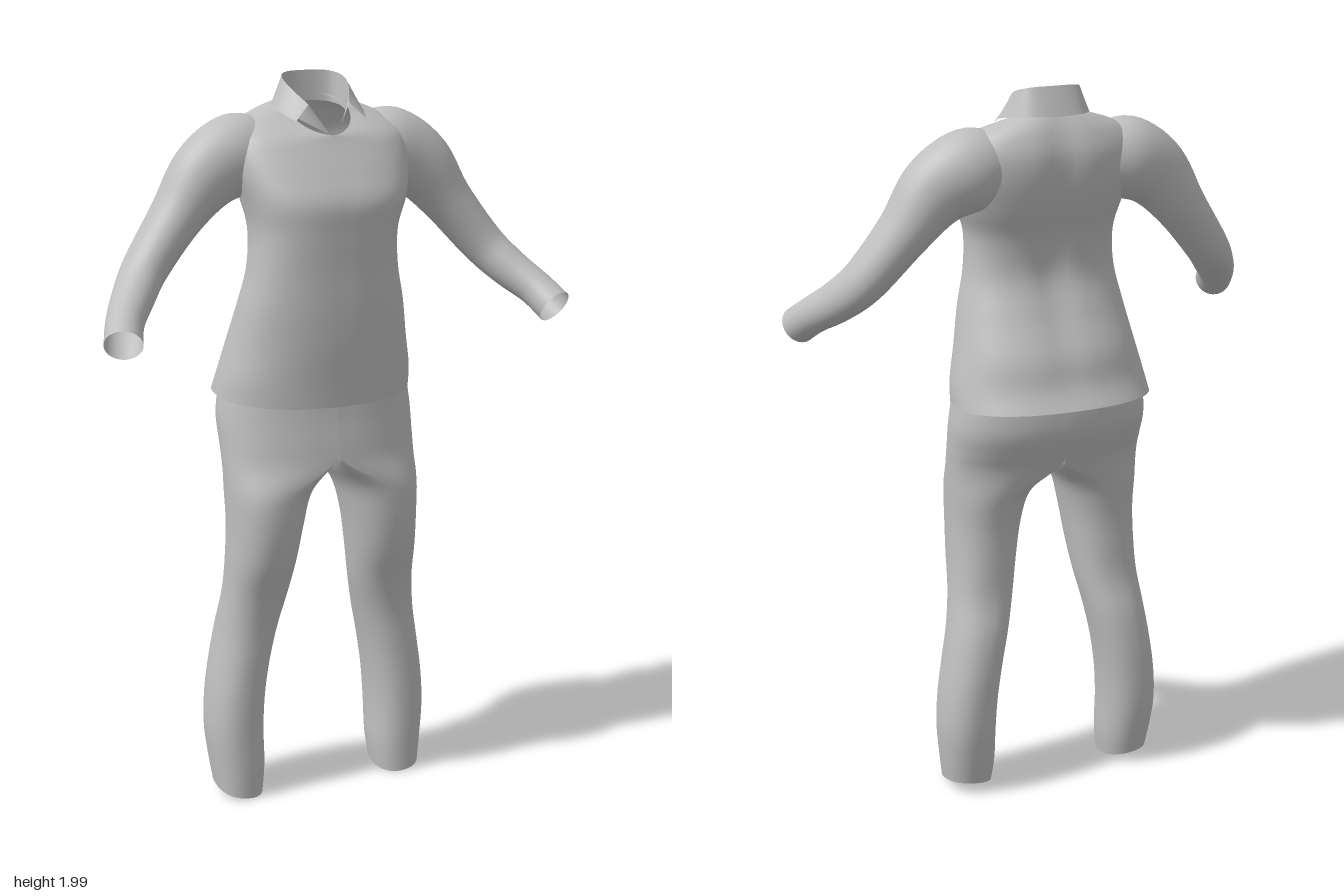
import * as THREE from 'three';

const cloth = new THREE.MeshStandardMaterial({ color: 0xbfbfbf, side: THREE.DoubleSide });
cloth.name = 'grey cloth';

// smooth table lookup: t in 0..1 runs along the rows, every column is splined
function rowAt(rows, t) {
  const f = t * (rows.length - 1), i = Math.min(Math.floor(f), rows.length - 2), k = f - i;
  const p = (j) => rows[Math.max(0, Math.min(rows.length - 1, j))];
  return rows[i].map((_, c) => {
    const a = p(i - 1)[c], b = p(i)[c], d = p(i + 1)[c], e = p(i + 2)[c];
    return b + 0.5 * k * (d - a + k * (2 * a - 5 * b + 4 * d - e + k * (3 * (b - d) + e - a)));
  });
}

// grid surface from point(t, u); wrap closes it around u
function surface(name, nt, nu, point, wrap = true, skip = () => false) {
  const pos = [], idx = [], pts = [], cols = wrap ? nu : nu + 1;
  for (let i = 0; i <= nt; i++) for (let j = 0; j < cols; j++) {
    const p = point(i / nt, j / nu);
    pts.push(p);
    pos.push(...p);
  }
  for (let i = 0; i < nt; i++) for (let j = 0; j < nu; j++) {
    const a = i * cols + j, b = i * cols + (j + 1) % cols, c = a + cols, d = b + cols;
    if (skip([a, b, c, d].map((q) => pts[q]))) continue;
    idx.push(a, c, b, b, c, d);
  }
  const g = new THREE.BufferGeometry();
  g.setAttribute('position', new THREE.Float32BufferAttribute(pos, 3));
  g.setIndex(idx);
  g.computeVertexNormals();
  const m = new THREE.Mesh(g, cloth);
  m.name = name;
  return m;
}

const spow = (v, e) => Math.sign(v) * Math.abs(v) ** e;

// shirt body: front y, back y, centre x, half width, front z, back z, squareness
const body = [
  [1.135, 1.165, -0.013, 0.275, 0.145, -0.238, 2.3],
  [1.2, 1.22, -0.01, 0.268, 0.15, -0.208, 2.3],
  [1.3, 1.3, -0.008, 0.248, 0.16, -0.188, 2.3],
  [1.4, 1.4, -0.008, 0.227, 0.165, -0.14, 2.4],
  [1.5, 1.5, -0.01, 0.205, 0.166, -0.106, 2.5],
  [1.6, 1.6, -0.007, 0.2, 0.17, -0.118, 2.6],
  [1.68, 1.68, 0, 0.222, 0.17, -0.148, 2.6],
  [1.75, 1.76, 0, 0.245, 0.135, -0.17, 2.5],
  [1.8, 1.83, 0, 0.25, 0.105, -0.174, 2.4],
  [1.825, 1.885, 0, 0.23, 0.09, -0.158, 2.3],
  [1.838, 1.92, 0, 0.185, 0.083, -0.138, 2.1],
  [1.844, 1.938, 0, 0.13, 0.08, -0.122, 1.9],
  [1.846, 1.943, 0, 0.085, 0.079, -0.11, 1.7],
];
function bodyPoint(t, a, out = 0) {
  const [yf, yb, cx, w, zf, zb, n] = rowAt(body, t);
  const c = Math.cos(a), s = Math.sin(a), ys = yf * 0.4 + yb * 0.6;
  const x = cx + w * spow(c, 2 / n);
  const z = (zf + zb) / 2 + (zf - zb) / 2 * spow(s, 2 / n);
  const y = ys + (s > 0 ? yf - ys : yb - ys) * Math.abs(s);
  // shallow hollow along the spine
  const spine = s < 0 ? 0.014 * Math.exp(-((x / 0.045) ** 2)) * Math.sin(Math.PI * t) : 0;
  return [x, y, z + spine + out];
}

// sleeve: centre x, y, z, radius in the front plane, radius in depth
const sleeveRows = [
  [0.15, 1.8, -0.06, 0.085, 0.085],
  [0.22, 1.792, -0.06, 0.108, 0.1],
  [0.31, 1.742, -0.05, 0.096, 0.09],
  [0.395, 1.64, -0.042, 0.07, 0.08],
  [0.49, 1.52, -0.012, 0.059, 0.07],
  [0.545, 1.455, 0.045, 0.054, 0.061],
  [0.592, 1.405, 0.115, 0.049, 0.052],
  [0.618, 1.362, 0.178, 0.05, 0.05],
];
function sleevePoint(t, u) {
  const [x, y, z, r, rz] = rowAt(sleeveRows, t);
  const p = rowAt(sleeveRows, Math.max(0, t - 0.04)), q = rowAt(sleeveRows, Math.min(1, t + 0.04));
  const dir = new THREE.Vector3(q[0] - p[0], q[1] - p[1], q[2] - p[2]).normalize();
  const across = new THREE.Vector3(-dir.y, dir.x, 0).normalize();
  const depth = new THREE.Vector3().crossVectors(dir, across);
  const a = u * Math.PI * 2;
  return new THREE.Vector3(x, y, z)
    .addScaledVector(across, r * Math.cos(a)).addScaledVector(depth, rz * Math.sin(a)).toArray();
}

// trouser leg: y, inner x, outer x, front z, back z, share of hip shape
const legRows = [
  [1.2, 0.01, 0.262, 0.12, -0.2, 1],
  [1.1, 0.01, 0.276, 0.128, -0.198, 1],
  [1.03, 0.008, 0.276, 0.137, -0.172, 1],
  [0.98, 0.006, 0.275, 0.142, -0.148, 0.9],
  [0.9, 0.045, 0.273, 0.145, -0.115, 0.1],
  [0.8, 0.07, 0.27, 0.14, -0.097, 0],
  [0.7, 0.086, 0.272, 0.122, -0.095, 0],
  [0.6, 0.102, 0.277, 0.088, -0.1, 0],
  [0.5, 0.125, 0.29, 0.069, -0.124, 0],
  [0.4, 0.147, 0.306, 0.066, -0.135, 0],
  [0.3, 0.162, 0.32, 0.066, -0.136, 0],
  [0.2, 0.168, 0.325, 0.066, -0.13, 0],
  [0.1, 0.168, 0.316, 0.066, -0.113, 0],
  [0.03, 0.176, 0.308, 0.064, -0.1, 0],
];
function legPoint(t, u) {
  const [y, xi, xo, zf, zb, h] = rowAt(legRows, t);
  const hip = THREE.MathUtils.clamp(h, 0, 1);
  const a = u * Math.PI * 2, c = spow(Math.cos(a), 0.88), s = spow(Math.sin(a), 0.88);
  const round = (xi + xo) / 2 + (xo - xi) / 2 * c;
  const half = c > 1e-6 ? xo * c : 0;
  const hem = THREE.MathUtils.smoothstep(t, 0.9, 1);
  return [
    Math.max(0, THREE.MathUtils.lerp(round, half, hip)),
    y + hem * (0.008 * c - 0.016 * s),
    (zf + zb) / 2 + (zf - zb) / 2 * s,
  ];
}

// collar edges, from the middle of the back to the front end
const collarEdges = {
  stand: [[0, 1.92, -0.1], [0.065, 1.915, -0.085], [0.08, 1.895, -0.02], [0.01, 1.848, 0.08]],
  top: [[0, 2, -0.105], [0.07, 1.996, -0.09], [0.088, 1.975, -0.03], [0.058, 1.925, 0.05]],
  fall: [[0, 1.925, -0.132], [0.085, 1.925, -0.112], [0.122, 1.912, -0.03], [0.1, 1.885, 0.066]],
};
function collarStrip(name, from, to) {
  const [a, b] = [from, to].map((k) => {
    const e = collarEdges[k];
    return [...e.slice(1).reverse().map(([x, y, z]) => [-x, y, z]), ...e];
  });
  return surface(name, 4, 40, (t, u) => {
    const p = rowAt(a, u), q = rowAt(b, u);
    return p.map((v, i) => v + (q[i] - v) * t);
  }, false);
}

export function createModel() {
  const model = new THREE.Group();
  model.name = 'shirtAndTrousers';

  const shirt = new THREE.Group();
  shirt.name = 'shirt';
  shirt.add(surface('shirtBody', 60, 72, (t, u) => bodyPoint(t, u * Math.PI * 2)));
  // overlapping button strip down the front
  shirt.add(surface('frontPlacket', 60, 4,
    (t, u) => bodyPoint(t * 0.97, Math.PI / 2 + 0.06 - u * 0.14, 0.003), false));
  shirt.add(collarStrip('collarStand', 'stand', 'top'));
  shirt.add(collarStrip('collarFall', 'top', 'fall'));
  model.add(shirt);

  const trousers = new THREE.Group();
  trousers.name = 'trousers';
  trousers.position.x = -0.008;
  model.add(trousers);

  for (const [side, sign] of [['left', 1], ['right', -1]]) {
    const sleeve = surface(side + 'Sleeve', 44, 36, sleevePoint);
    sleeve.scale.x = sign;
    shirt.add(sleeve);
    // the hidden wall between the two hips is left out
    const leg = surface(side + 'Leg', 60, 48, legPoint, true, (q) => q.every((p) => p[0] < 0.002));
    leg.scale.x = sign;
    trousers.add(leg);
  }
  return model;
}
